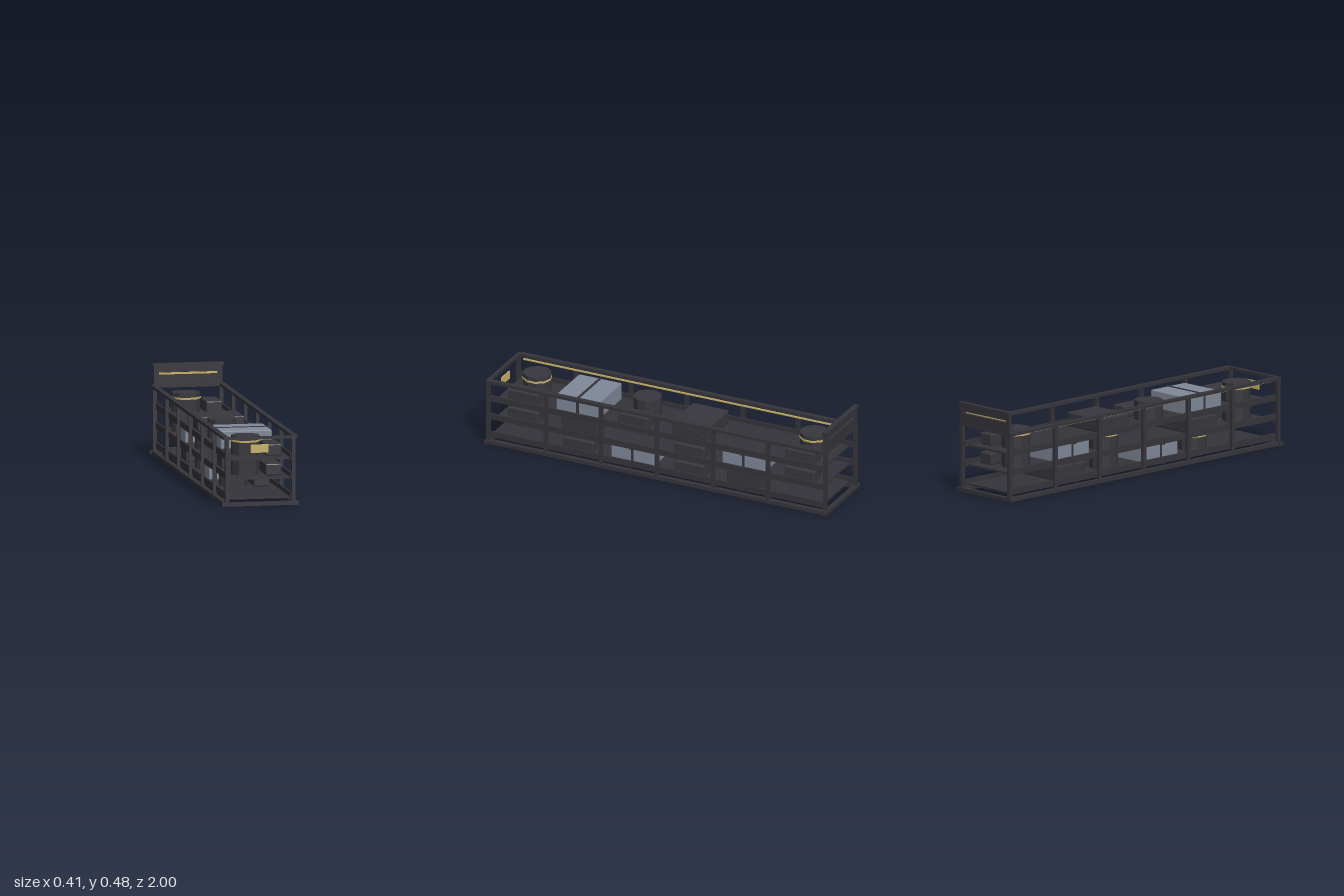
import * as THREE from 'three';
import { RoundedBoxGeometry } from 'three/addons/geometries/RoundedBoxGeometry.js';

function material(name, color, flat = false) {
  const m = new THREE.MeshStandardMaterial({ color, flatShading: flat });
  m.name = name;
  return m;
}

export function createModel() {
  const root = new THREE.Group();
  root.name = 'storageRack';
  const frame = material('dark frame', 0x35343a);
  const cargo = material('dark cargo', 0x38373d, true);
  const blue = material('grey blue', 0x808898);
  const yellow = material('dull yellow', 0xc8b16a);

  function add(name, geo, mat, x, y, z, parent = root) {
    const mesh = new THREE.Mesh(geo, mat);
    mesh.name = name;
    mesh.position.set(x, y, z);
    parent.add(mesh);
    return mesh;
  }
  // box given by its limits on each axis
  function box(name, mat, [x0, x1], [y0, y1], [z0, z1], parent = root) {
    const geo = new THREE.BoxGeometry(x1 - x0, y1 - y0, z1 - z0);
    return add(name, geo, mat, (x0 + x1) / 2, (y0 + y1) / 2, (z0 + z1) / 2, parent);
  }
  // box with small bevels, standing on y
  function bevelBox(name, mat, w, h, d, x, y, z, parent) {
    return add(name, new RoundedBoxGeometry(w, h, d, 1, 0.006), mat, x, y + h / 2, z, parent);
  }
  const sideSpan = (s, a, b) => (s > 0 ? [a, b] : [-b, -a]);

  // base frame, top rails and posts
  const postZ = [0.985, 0.65, 0.327, 0, -0.327, -0.65, -0.985];
  for (const s of [-1, 1]) {
    box('baseSideRail', frame, sideSpan(s, 0.168, 0.196), [0, 0.02], [-0.99, 0.99]);
    box('topSideRail', frame, sideSpan(s, 0.17, 0.198), [0.352, 0.368], [-0.99, 0.99]);
    box('baseEndRail', frame, [-0.205, 0.205], [0, 0.02], sideSpan(s, 0.975, 1));
    box('topEndRail', frame, [-0.19, 0.19], [0.352, 0.366], sideSpan(s, 0.975, 0.995));
    for (const z of postZ) {
      box('post', frame, sideSpan(s, 0.168, 0.188), [0.01, 0.36], [z - 0.01, z + 0.01]);
    }
  }

  // raised header at the back
  const header = new THREE.Group();
  header.name = 'header';
  root.add(header);
  for (const s of [-1, 1]) {
    box('headerPost', frame, sideSpan(s, 0.163, 0.183), [0.355, 0.47], [-0.995, -0.975], header);
  }
  box('lowerPanel', frame, [-0.165, 0.165], [0.364, 0.421], [-0.993, -0.979], header);
  box('upperPanel', frame, [-0.165, 0.165], [0.433, 0.468], [-0.993, -0.979], header);
  box('headerCap', frame, [-0.19, 0.19], [0.465, 0.48], [-1, -0.972], header);
  box('headerStripe', yellow, [-0.157, 0.157], [0.422, 0.432], [-0.979, -0.971], header);

  // front plate and long strip inside one top rail
  box('frontPlate', yellow, [-0.048, 0.046], [0.278, 0.322], [0.972, 0.978]);
  box('sideStrip', yellow, [-0.169, -0.161], [0.342, 0.35], [-0.95, 0.95]);

  // cargo pieces
  function canister(y, z, ringed) {
    const g = new THREE.Group();
    g.name = 'canisterUnit';
    root.add(g);
    add('canister', new THREE.CylinderGeometry(0.076, 0.076, 0.103, 10), cargo, -0.045, y + 0.0515, z, g);
    if (ringed) {
      add('canisterBand', new THREE.CylinderGeometry(0.079, 0.079, 0.01, 10), yellow, -0.045, y + 0.076, z, g);
    }
    bevelBox('sideCase', cargo, 0.085, 0.062, 0.175, 0.09, y, z, g);
  }
  function bin(y, z) {
    const g = new THREE.Group();
    g.name = 'strappedBin';
    root.add(g);
    bevelBox('bin', blue, 0.274, 0.096, 0.25, 0, y, z, g);
    box('strap', frame, [-0.14, 0.14], [y, y + 0.099], [z - 0.007, z + 0.007], g);
  }
  function crate(y, z) {
    bevelBox('crate', cargo, 0.25, 0.076, 0.21, -0.003, y, z, root);
  }

  // shelves with side lips and cross bars, each with its load
  const slotZ = [0.81, 0.485, 0.165, -0.165, -0.485, -0.81];
  const shelves = [
    { top: 0.04, load: ['', 'ring', 'bin', 'can', 'crate', ''] },
    { top: 0.144, load: ['can', 'crate', '', 'ring', 'bin', 'can'] },
    { top: 0.248, load: ['ring', 'bin', 'can', 'crate', '', 'ring'] },
  ];
  for (const { top, load } of shelves) {
    box('shelf', frame, [-0.168, 0.168], [top - 0.01, top], [-0.955, 0.955]);
    for (const s of [-1, 1]) {
      box('shelfLip', frame, sideSpan(s, 0.163, 0.172), [top - 0.01, top + 0.024], [-0.98, 0.98]);
    }
    for (const z of [0.81, 0.165, -0.485]) {
      box('crossBar', frame, [-0.165, 0.165], [top - 0.018, top - 0.01], [z - 0.005, z + 0.005]);
    }
    load.forEach((kind, i) => {
      if (kind === 'can' || kind === 'ring') canister(top, slotZ[i], kind === 'ring');
      if (kind === 'bin') bin(top, slotZ[i]);
      if (kind === 'crate') crate(top, slotZ[i]);
    });
  }
  return root;
}
